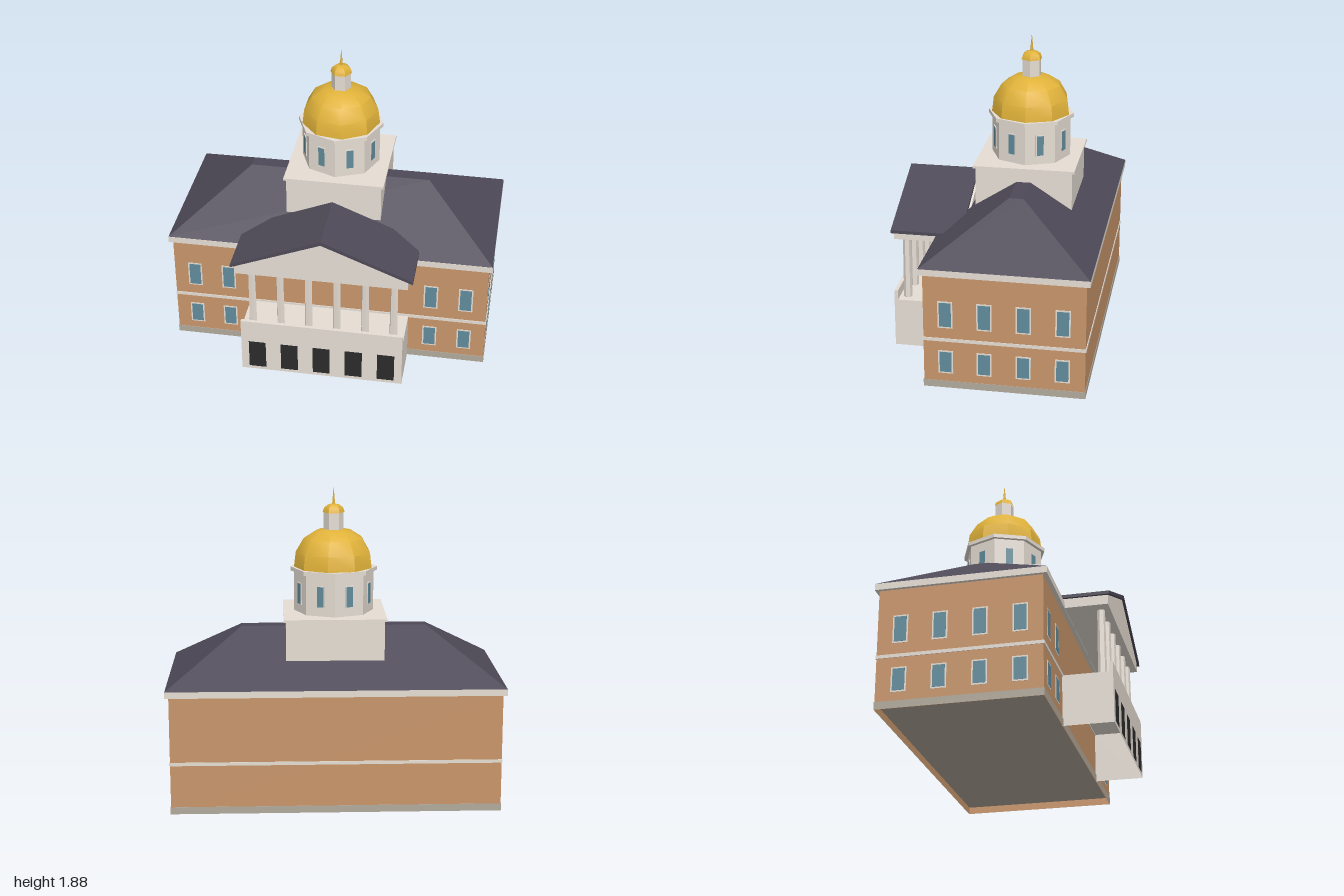
import * as THREE from 'three';
import { toCreasedNormals } from 'three/addons/utils/BufferGeometryUtils.js';

const material = (name, color, side = THREE.FrontSide) => {
  const m = new THREE.MeshStandardMaterial({ color, side });
  m.name = name;
  return m;
};

export function createModel() {
  const brick = material('brick', 0xc8956a, THREE.DoubleSide);
  const stone = material('stone', 0xe6ded4, THREE.DoubleSide);
  const plinthStone = material('plinth stone', 0xb2a99c, THREE.DoubleSide);
  const slate = material('slate', 0x4e4957);
  const gold = material('gold', 0xe0b23a);
  const glass = material('glass', 0x628c9c);
  const black = material('door black', 0x2b2b2b);

  const model = new THREE.Group();
  model.name = 'domedHall';
  const midZ = -0.135; // centre of the main block and dome

  const add = (name, geometry, mat, x = 0, y = 0, z = 0, parent = model) => {
    const mesh = new THREE.Mesh(geometry, mat);
    mesh.name = name;
    mesh.position.set(x, y, z);
    parent.add(mesh);
    return mesh;
  };
  // Box given by width, y range and z range
  const block = (name, mat, w, y0, y1, z0, z1, x = 0) =>
    add(name, new THREE.BoxGeometry(w, y1 - y0, z1 - z0), mat, x, (y0 + y1) / 2, (z0 + z1) / 2);
  // The same box standing on the ground without its underside
  const shell = (name, mat, w, y1, z0, z1) => {
    const { geometry } = block(name, mat, w, 0, y1, z0, z1);
    const index = Array.from(geometry.index.array);
    index.splice(18, 6);
    geometry.setIndex(index);
    geometry.clearGroups();
  };
  // Faceted column standing on y0
  const prism = (name, mat, r, sides, y0, y1, x, z, start = 0, rTop = r) =>
    add(name, toCreasedNormals(new THREE.CylinderGeometry(rTop, r, y1 - y0, sides, 1, false, start), 0.4),
      mat, x, (y0 + y1) / 2, z);
  // Framed window facing the given direction
  const windowAt = (name, x, y, z, turn, w, h, border, depth = 0.003) => {
    const g = new THREE.Group();
    g.name = name;
    g.position.set(x, y, z);
    g.rotation.y = turn;
    add('windowFrame', new THREE.BoxGeometry(w + border * 2, h + border * 2, depth), stone, 0, 0, 0, g);
    add('windowPane', new THREE.BoxGeometry(w, h, 0.003), glass, 0, 0, depth / 2, g);
    model.add(g);
  };

  // Main block, hollow below the plinth top
  shell('walls', brick, 1.958, 0.72, -0.608, 0.335);
  shell('plinth', plinthStone, 1.964, 0.043, -0.611, 0.339);
  block('stringCourse', stone, 1.966, 0.298, 0.318, -0.612, 0.34);
  block('cornice', stone, 2, 0.713, 0.752, -0.63, 0.36);

  // Hipped roof: a box with its top drawn in
  const hip = new THREE.BoxGeometry(2, 0.291, 0.988);
  const p = hip.attributes.position;
  for (let i = 0; i < p.count; i++) {
    if (p.getY(i) > 0) {
      p.setX(i, Math.sign(p.getX(i)) * 0.56);
      p.setZ(i, Math.sign(p.getZ(i)) * 0.043);
    }
  }
  hip.computeVertexNormals();
  add('hippedRoof', hip, slate, 0, 0.8975, -0.136);

  // Windows on the front and both ends
  for (const [y, h] of [[0.166, 0.128], [0.468, 0.15]]) {
    for (const x of [-0.85, -0.635, 0.635, 0.85]) windowAt('frontWindow', x, y, 0.3355, 0, 0.07, h, 0.009);
    for (const side of [-1, 1]) {
      for (const dz of [-0.341, -0.114, 0.114, 0.341]) {
        windowAt('endWindow', side * 0.9795, y, midZ + dz, side * Math.PI / 2, 0.07, h, 0.009);
      }
    }
  }

  // Portico base, open underneath, with parapet and doors
  shell('porticoBase', stone, 1, 0.305, 0.335, 0.628);
  block('porticoParapet', stone, 1, 0.305, 0.365, 0.606, 0.628);
  for (let i = -2; i <= 2; i++) block('door', black, 0.106, 0.022, 0.213, 0.625, 0.6295, i * 0.2);

  // Colonnade
  for (let i = 0; i < 6; i++) {
    prism('column', stone, 0.026, 6, 0.3, 0.72, (i - 2.5) * 0.174, 0.557, 0.25, 0.023);
  }

  // Pediment with its gabled roof
  const extrude = (points, depth) => new THREE.ExtrudeGeometry(
    new THREE.Shape(points.map(([x, y]) => new THREE.Vector2(x, y))), { depth, bevelEnabled: false });
  add('pediment', extrude([[-0.52, 0.716], [0.52, 0.716], [0.52, 0.773], [0, 0.983], [-0.52, 0.773]], 0.428),
    stone, 0, 0, 0.185);
  add('porticoRoof', extrude([[-0.55, 0.765], [0, 0.986], [0.55, 0.765], [0.55, 0.785], [0, 1.01], [-0.55, 0.785]], 0.428),
    slate, 0, 0, 0.197);

  // Square attic under the dome
  block('attic', stone, 0.585, 0.752, 1.12, midZ - 0.2925, midZ + 0.2925);
  block('atticCap', stone, 0.614, 1.118, 1.133, midZ - 0.307, midZ + 0.307);

  // Octagonal drum with a window on every face
  prism('drum', stone, 0.241, 8, 1.13, 1.38, 0, midZ);
  prism('drumCornice', stone, 0.262, 8, 1.376, 1.4, 0, midZ);
  for (let i = 0; i < 8; i++) {
    const a = (i + 0.5) * Math.PI / 4;
    windowAt('drumWindow', Math.sin(a) * 0.2245, 1.25, midZ + Math.cos(a) * 0.2245, a, 0.042, 0.122, 0.006, 0.008);
  }

  // Nine-sided dome
  const lathe = (points, sides) => toCreasedNormals(
    new THREE.LatheGeometry(points.map(([r, y]) => new THREE.Vector2(r, y)), sides), 0.65);
  add('dome', lathe([[0.24, 1.398], [0.229, 1.49], [0.181, 1.573], [0.107, 1.62], [0, 1.638]], 9),
    gold, 0, 0, midZ).rotation.y = Math.PI / 2;

  // Lantern, cap and spire
  prism('lantern', stone, 0.06, 6, 1.625, 1.733, 0, midZ, Math.PI / 2);
  add('lanternCap', lathe([[0.066, 1.729], [0.057, 1.757], [0.033, 1.775], [0, 1.782]], 6),
    gold, 0, 0, midZ).rotation.y = Math.PI / 2;
  prism('spire', gold, 0.011, 6, 1.77, 1.875, 0, midZ, 0, 0.001);

  return model;
}
